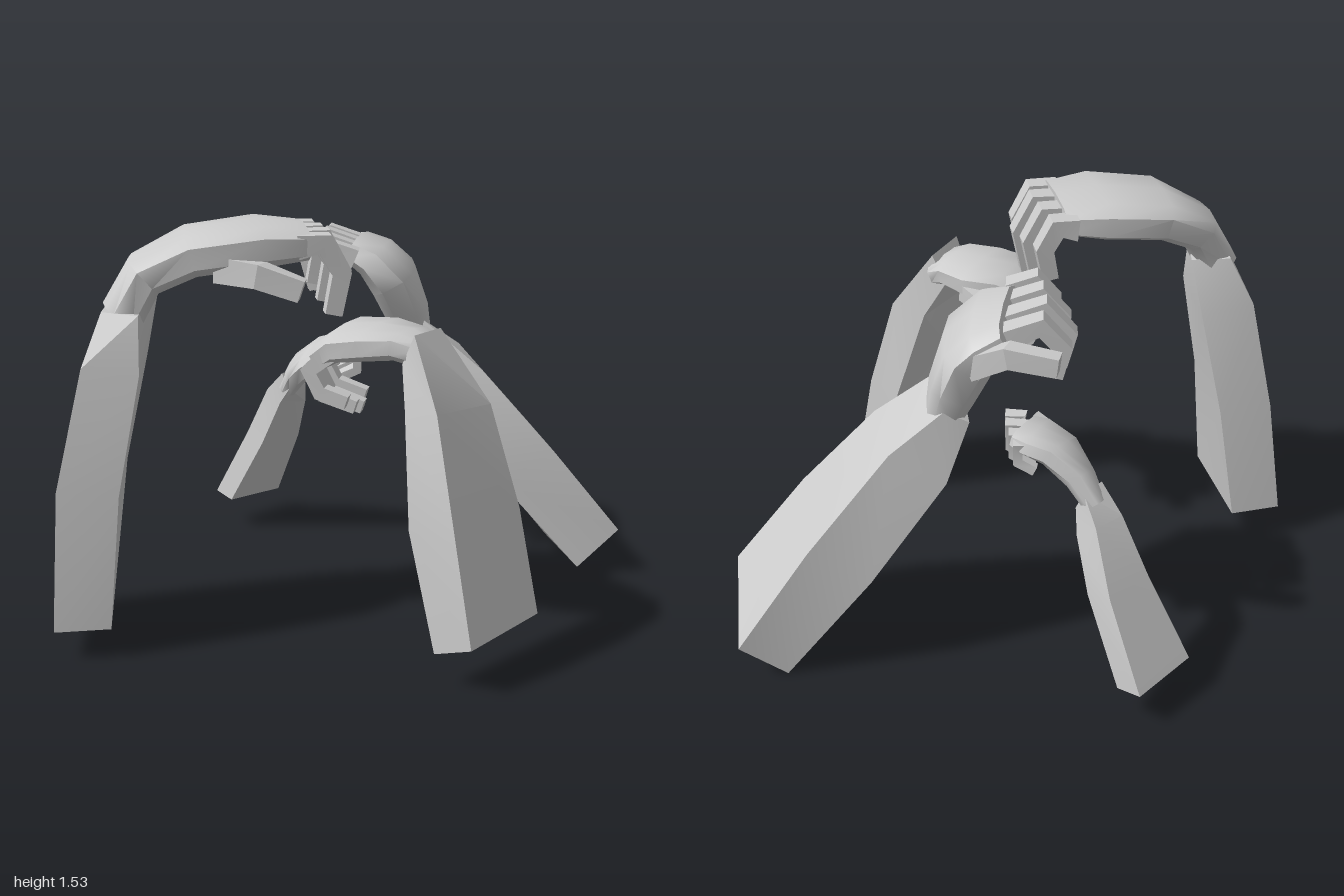
import * as THREE from 'three';
import { toCreasedNormals } from 'three/addons/utils/BufferGeometryUtils.js';

const V = (a) => new THREE.Vector3(a[0], a[1], a[2]);
const material = new THREE.MeshStandardMaterial({ color: 0xcccccc });

// Closed skin through a list of rings (each ring: the same number of Vector3), turned outward
function skin(name, rings, crease) {
  const n = rings[0].length, pts = rings.flat(), index = [];
  for (let r = 0; r < rings.length - 1; r++) {
    for (let i = 0; i < n; i++) {
      const a = r * n + i, b = r * n + (i + 1) % n;
      index.push(a, b, b + n, a, b + n, a + n);
    }
  }
  const last = (rings.length - 1) * n;
  for (let i = 1; i < n - 1; i++) {
    index.push(0, i + 1, i, last, last + i, last + i + 1);
  }
  let volume = 0;
  for (let i = 0; i < index.length; i += 3) {
    volume += pts[index[i]].dot(pts[index[i + 1]].clone().cross(pts[index[i + 2]]));
  }
  if (volume < 0) index.reverse();
  const geo = new THREE.BufferGeometry().setFromPoints(pts);
  geo.setIndex(index);
  const mesh = new THREE.Mesh(toCreasedNormals(geo, crease), material);
  mesh.name = name;
  return mesh;
}

// Rounded-box rings along a spine of [x, y, z, halfWidth, halfThickness]
function rings(spine, side, sides) {
  const p = spine.map(V), power = sides === 4 ? 1 : 0.65;
  const grow = sides === 4 ? Math.SQRT2 : 1;
  return spine.map((st, i) => {
    const tangent = p[Math.min(i + 1, p.length - 1)].clone().sub(p[Math.max(i - 1, 0)]).normalize();
    const up = new THREE.Vector3().crossVectors(side, tangent).normalize();
    const across = new THREE.Vector3().crossVectors(tangent, up);
    return Array.from({ length: sides }, (_, k) => {
      const a = ((k + 0.5) / sides) * Math.PI * 2, c = Math.cos(a), s = Math.sin(a);
      const x = Math.sign(c) * Math.abs(c) ** power * grow * st[3];
      const y = Math.sign(s) * Math.abs(s) ** power * grow * st[4];
      return p[i].clone().addScaledVector(across, x).addScaledVector(up, y);
    });
  });
}

// Square-section digit through points, tapering to the tip
function digit(name, points, side, radius) {
  const spine = points.map((q, i) => {
    const r = radius * (1 - 0.09 * i);
    return [...q, r, r * 0.9];
  });
  return skin(name, rings(spine, side, 4), 0.3);
}

function arm(name, d) {
  const group = new THREE.Group();
  group.name = name;
  const side = V(d.side).normalize();
  const forward = V(d.forward).normalize();
  group.add(skin('forearm', d.forearm.map((ring) => ring.map(V)), 0.35));
  group.add(skin('palm', rings(d.palm, side, 10), 0.9));
  // Four fingers spread across the knuckles, sharing one curl (forward, up)
  d.spread.forEach((t, i) => {
    const base = V(d.knuckle).addScaledVector(side, t);
    const reach = [0.78, 0.95, 1.05, 0.95][i];
    const path = d.curl.map(([f, u]) => {
      const q = base.clone().addScaledVector(forward, f * reach);
      return [q.x, q.y + u * reach, q.z];
    });
    group.add(digit('finger', path, side, d.finger));
  });
  group.add(digit('thumb', d.thumb, V([0, 1, 0]), d.finger));
  return group;
}

const arms = {
  // Tall arm with the hand arching over
  frontRightArm: {
    side: [0.43, 0, 0.9], forward: [0.9, 0, -0.43],
    forearm: [
      [[-1, 0.14, 0.51], [-0.78, 0.11, 0.97], [-0.6, 0.11, 0.88], [-0.82, 0.13, 0.42]],
      [[-0.93, 0.62, 0.5], [-0.76, 0.62, 0.94], [-0.56, 0.6, 0.86], [-0.74, 0.6, 0.42]],
      [[-0.83, 1.07, 0.48], [-0.68, 1.05, 0.87], [-0.5, 1.02, 0.79], [-0.64, 1.02, 0.42]],
      [[-0.73, 1.26, 0.46], [-0.65, 1.23, 0.76], [-0.52, 1.22, 0.74], [-0.58, 1.24, 0.45]],
    ],
    palm: [[-0.64, 1.2, 0.61, 0.15, 0.08], [-0.57, 1.34, 0.57, 0.17, 0.08], [-0.42, 1.42, 0.51, 0.24, 0.08],
      [-0.2, 1.45, 0.4, 0.26, 0.08], [-0.06, 1.45, 0.33, 0.22, 0.06]],
    knuckle: [-0.1, 1.45, 0.34], spread: [-0.2, -0.07, 0.06, 0.18],
    curl: [[0, 0], [0.1, 0.01], [0.16, -0.1], [0.13, -0.25]], finger: 0.046,
    thumb: [[-0.26, 1.38, 0.62], [-0.1, 1.37, 0.66], [0.04, 1.32, 0.63]],
  },
  // Upright arm with a fist folded inward
  frontLeftArm: {
    side: [-0.1, 0, -1], forward: [-1, 0, 0.1],
    forearm: [
      [[0.69, 0.17, 0.81], [0.55, 0.12, 0.76], [0.74, 0.12, 0.37], [0.84, 0.17, 0.42]],
      [[0.62, 0.53, 0.77], [0.44, 0.53, 0.7], [0.62, 0.53, 0.34], [0.76, 0.55, 0.4]],
      [[0.53, 0.94, 0.69], [0.4, 0.93, 0.62], [0.5, 0.9, 0.37], [0.65, 0.92, 0.41]],
      [[0.42, 1.18, 0.58], [0.37, 1.07, 0.55], [0.4, 1.06, 0.36], [0.46, 1.17, 0.38]],
    ],
    palm: [[0.45, 1.09, 0.46, 0.1, 0.05], [0.37, 1.12, 0.44, 0.14, 0.055], [0.25, 1.12, 0.4, 0.19, 0.06],
      [0.13, 1.11, 0.39, 0.18, 0.06], [0.06, 1.07, 0.37, 0.15, 0.05]],
    knuckle: [0.08, 1.08, 0.36], spread: [-0.14, -0.05, 0.04, 0.13],
    curl: [[0, 0], [0.09, -0.08], [0.04, -0.18], [-0.08, -0.22]], finger: 0.036,
    thumb: [[0.28, 1.09, 0.26], [0.18, 1.08, 0.17], [0.08, 1.03, 0.07]],
  },
  // Leaning arm with a broad raised hand
  backLeftArm: {
    side: [-0.25, 0, -0.97], forward: [-0.97, 0, 0.25],
    forearm: [
      [[1, 0.19, -0.5], [0.85, 0.04, -0.42], [0.63, 0, -0.9], [0.78, 0.14, -0.98]],
      [[0.74, 0.53, -0.4], [0.54, 0.4, -0.33], [0.32, 0.4, -0.8], [0.53, 0.53, -0.87]],
      [[0.45, 0.85, -0.36], [0.28, 0.74, -0.29], [0.08, 0.76, -0.64], [0.27, 0.88, -0.7]],
      [[0.21, 1.04, -0.35], [0.12, 0.98, -0.32], [0.02, 0.97, -0.55], [0.1, 1.02, -0.59]],
    ],
    palm: [[0.14, 0.96, -0.46, 0.12, 0.07], [0.11, 1.06, -0.45, 0.17, 0.09], [0.06, 1.2, -0.42, 0.24, 0.1],
      [-0.01, 1.28, -0.41, 0.24, 0.08], [-0.09, 1.32, -0.4, 0.2, 0.06]],
    knuckle: [-0.07, 1.31, -0.36], spread: [-0.21, -0.08, 0.05, 0.17],
    curl: [[0, 0], [0.12, 0.05], [0.2, -0.04], [0.17, -0.15]], finger: 0.042,
    thumb: [[-0.01, 1.22, -0.6], [-0.15, 1.3, -0.64], [-0.32, 1.28, -0.63]],
  },
  // Small thin arm reaching inward
  backRightArm: {
    side: [0.35, 0, 0.93], forward: [0.93, 0, -0.1],
    forearm: [
      [[-0.81, 0.15, -0.6], [-0.68, 0.14, -0.85], [-0.59, 0.12, -0.8], [-0.72, 0.13, -0.55]],
      [[-0.64, 0.45, -0.56], [-0.54, 0.45, -0.74], [-0.45, 0.42, -0.69], [-0.55, 0.42, -0.5]],
      [[-0.53, 0.66, -0.52], [-0.46, 0.66, -0.63], [-0.385, 0.6, -0.6], [-0.45, 0.62, -0.46]],
      [[-0.44, 0.75, -0.46], [-0.4, 0.76, -0.57], [-0.37, 0.69, -0.56], [-0.4, 0.69, -0.44]],
    ],
    palm: [[-0.43, 0.69, -0.52, 0.07, 0.04], [-0.37, 0.77, -0.49, 0.09, 0.05], [-0.28, 0.84, -0.44, 0.14, 0.05],
      [-0.19, 0.88, -0.43, 0.14, 0.045], [-0.14, 0.89, -0.42, 0.11, 0.035]],
    knuckle: [-0.16, 0.89, -0.43], spread: [-0.11, -0.04, 0.03, 0.1],
    curl: [[0, 0], [0.06, 0.01], [0.06, -0.07], [-0.02, -0.11]], finger: 0.026,
    thumb: [[-0.29, 0.81, -0.36], [-0.23, 0.82, -0.3], [-0.14, 0.87, -0.28]],
  },
};

export function createModel() {
  const model = new THREE.Group();
  model.name = 'fourForearms';
  for (const [name, data] of Object.entries(arms)) model.add(arm(name, data));
  return model;
}
